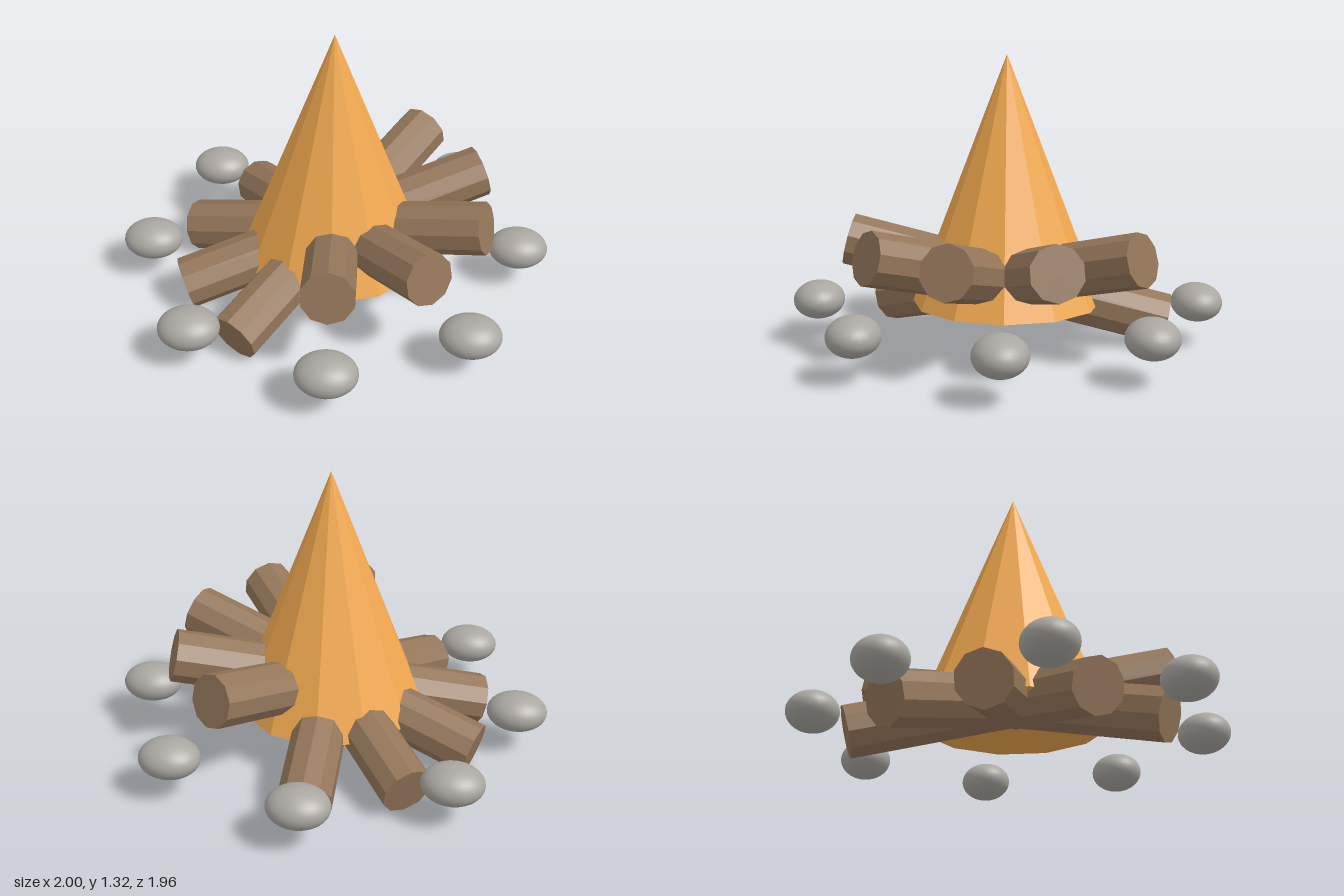
import * as THREE from 'three';

const LOGS = 5, STONES = 8, TILT = 0.25;

export function createModel() {
  const group = new THREE.Group();
  group.name = 'campfire';

  const wood = new THREE.MeshStandardMaterial({ color: 0x94765a, flatShading: true });
  const fire = new THREE.MeshStandardMaterial({ color: 0xf2a950, flatShading: true });
  const rock = new THREE.MeshStandardMaterial({ color: 0xaaa7a1 });

  const add = (name, geometry, material, x, y, z) => {
    const mesh = new THREE.Mesh(geometry, material);
    mesh.name = name;
    mesh.position.set(x, y, z);
    group.add(mesh);
    return mesh;
  };

  // Flame: a faceted cone with a closed base
  add('flame', new THREE.ConeGeometry(0.43, 1.12, 12), fire, 0, 0.76, 0);

  // Logs: crossing at the centre, each with one end raised
  const logGeometry = new THREE.CylinderGeometry(0.12, 0.12, 1.48, 10);
  for (let i = 0; i < LOGS; i++) {
    const log = add(`log${i + 1}`, logGeometry, wood, 0, 0.3, 0);
    log.rotation.order = 'YXZ';
    log.rotation.set(Math.PI / 2 - TILT, (i * Math.PI) / LOGS, 0);
  }

  // Stones: a ring of smooth flattened pebbles, all lying the same way
  const stoneGeometry = new THREE.SphereGeometry(1, 32, 20).scale(0.137, 0.086, 0.116);
  for (let i = 0; i < STONES; i++) {
    const angle = (i * 2 * Math.PI) / STONES;
    add(`stone${i + 1}`, stoneGeometry, rock, 0.863 * Math.cos(angle), 0.2, 0.863 * Math.sin(angle));
  }

  return group;
}
